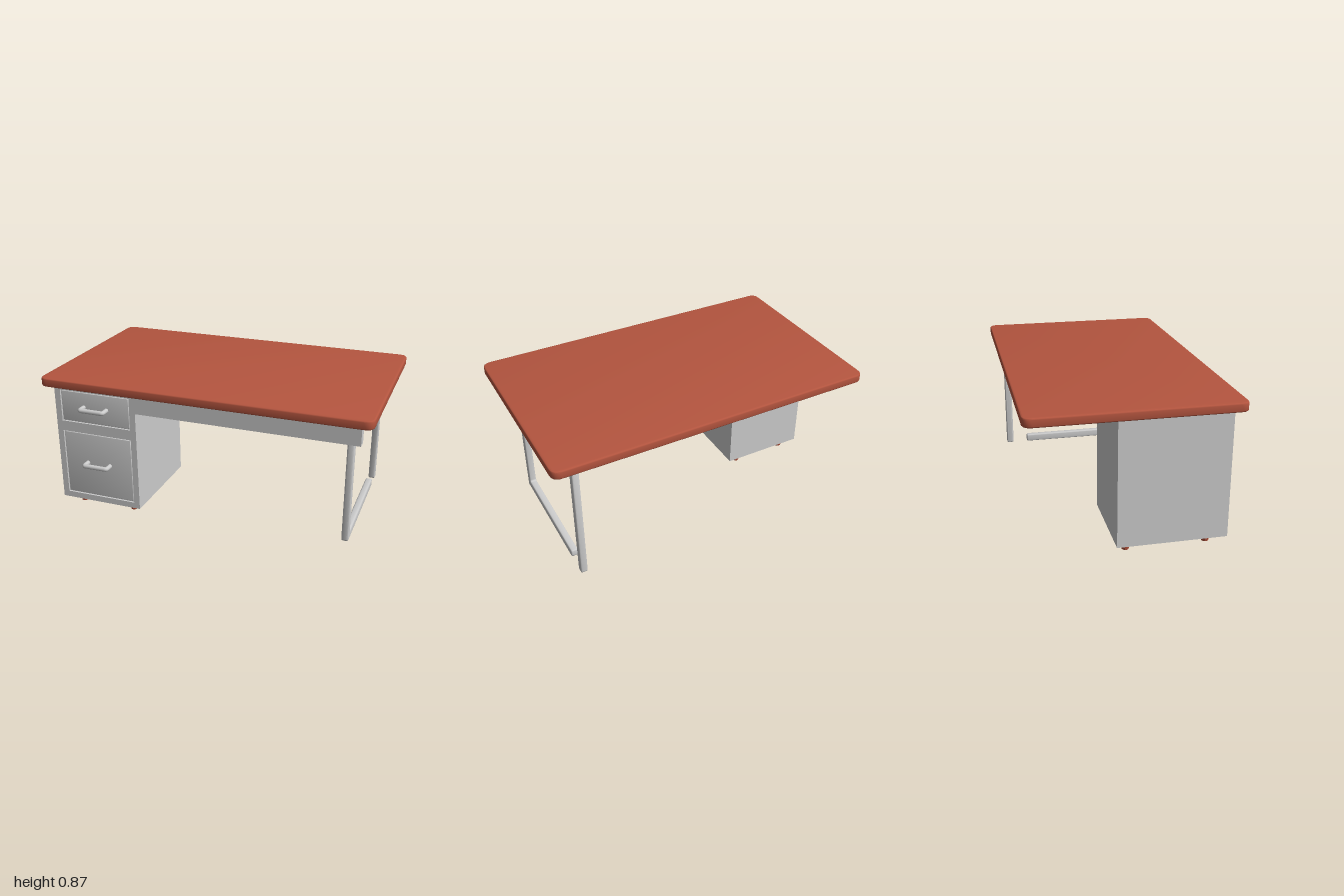
import * as THREE from 'three';
import { toCreasedNormals } from 'three/addons/utils/BufferGeometryUtils.js';

const GREY = 0xcccccc;
const RED = 0xb4553f;
const mats = {};
const mat = (color, flatShading = false) =>
  (mats[color + '_' + flatShading] ??= new THREE.MeshStandardMaterial({ color, flatShading }));

function add(parent, name, geometry, material, x = 0, y = 0, z = 0) {
  const mesh = new THREE.Mesh(geometry, material);
  mesh.name = name;
  mesh.position.set(x, y, z);
  parent.add(mesh);
  return mesh;
}

// Closed polygon with every corner rounded by radius r
function roundedShape(points, r) {
  const pts = points.map(([x, y]) => new THREE.Vector2(x, y));
  const shape = new THREE.Shape();
  pts.forEach((p, i) => {
    const prev = pts[(i + pts.length - 1) % pts.length];
    const next = pts[(i + 1) % pts.length];
    const a = prev.clone().sub(p).setLength(r).add(p);
    const b = next.clone().sub(p).setLength(r).add(p);
    if (i === 0) shape.moveTo(a.x, a.y);
    else shape.lineTo(a.x, a.y);
    shape.quadraticCurveTo(p.x, p.y, b.x, b.y);
  });
  shape.closePath();
  return shape;
}

const rect = (x0, y0, x1, y1) => [[x0, y0], [x1, y0], [x1, y1], [x0, y1]];

// Extrusion from z = 0 to z = depth whose bevel stays inside the outline
function bevelled(shape, depth, bevel, curveSegments = 6) {
  const geo = new THREE.ExtrudeGeometry(shape, {
    depth: depth - 2 * bevel, curveSegments,
    bevelSize: bevel, bevelThickness: bevel, bevelOffset: -bevel, bevelSegments: 3,
  });
  geo.translate(0, 0, bevel);
  return toCreasedNormals(geo, 0.7);
}

export function createModel() {
  const desk = new THREE.Group();
  desk.name = 'desk';

  // Desktop
  const top = bevelled(roundedShape(rect(-1, -0.6, 1, 0.6), 0.055), 0.052, 0.008, 8);
  top.rotateX(-Math.PI / 2);
  add(desk, 'desktop', top, mat(RED), 0, 0.818, 0);

  // Drawer cabinet: solid body with a front frame around recessed drawers
  const cabinet = new THREE.Group();
  cabinet.name = 'drawerCabinet';
  desk.add(cabinet);
  const left = -0.94, right = -0.405, bottom = 0.06, height = 0.758, recess = 0.012;
  const cx = (left + right) / 2;
  const bodyDepth = 0.635 - recess;
  add(cabinet, 'cabinetBody', new THREE.BoxGeometry(right - left, height, bodyDepth),
    mat(GREY), cx, bottom + height / 2, -0.1 + bodyDepth / 2);

  const drawers = [
    { y0: 0.585, y1: 0.787, handleY: 0.688 },
    { y0: 0.098, y1: 0.52, handleY: 0.321 },
  ];
  const frame = new THREE.Shape(rect(left, bottom, right, bottom + height).map(p => new THREE.Vector2(...p)));
  for (const d of drawers) {
    frame.holes.push(new THREE.Path(rect(-0.902, d.y0, -0.442, d.y1).reverse().map(p => new THREE.Vector2(...p))));
  }
  add(cabinet, 'cabinetFrontFrame',
    new THREE.ExtrudeGeometry(frame, { depth: recess, bevelEnabled: false }),
    mat(GREY), 0, 0, 0.535 - recess);

  // Drawer fronts and bar handles
  const handlePath = new THREE.CurvePath();
  const v = (x, z) => new THREE.Vector3(x, 0, z);
  handlePath.add(new THREE.LineCurve3(v(-0.076, -0.015), v(-0.076, 0.036)));
  handlePath.add(new THREE.QuadraticBezierCurve3(v(-0.076, 0.036), v(-0.076, 0.046), v(-0.066, 0.046)));
  handlePath.add(new THREE.LineCurve3(v(-0.066, 0.046), v(0.066, 0.046)));
  handlePath.add(new THREE.QuadraticBezierCurve3(v(0.066, 0.046), v(0.076, 0.046), v(0.076, 0.036)));
  handlePath.add(new THREE.LineCurve3(v(0.076, 0.036), v(0.076, -0.015)));
  const handleGeo = new THREE.TubeGeometry(handlePath, 60, 0.014, 12);
  for (const d of drawers) {
    const panel = bevelled(roundedShape(rect(-0.896, d.y0 + 0.006, -0.448, d.y1 - 0.006), 0.003), 0.012, 0.003, 2);
    add(cabinet, 'drawerFront', panel, mat(GREY), 0, 0, 0.518);
    add(cabinet, 'drawerHandle', handleGeo, mat(GREY), cx, d.handleY, 0.535);
  }

  // Tapered cabinet feet
  const footGeo = new THREE.CylinderGeometry(0.031, 0.021, 0.06, 10);
  for (const x of [-0.85, -0.495]) {
    for (const z of [0.437, -0.032]) add(cabinet, 'cabinetFoot', footGeo, mat(RED, true), x, 0.03, z);
  }

  // Front rail under the desktop
  add(desk, 'frontRail', new THREE.BoxGeometry(1.335, 0.123, 0.057), mat(GREY), 0.2625, 0.7565, 0.5065);

  // Side leg: one bent bar, open at the lower back corner
  const t = 0.047, f = -0.388, b = 0.525, y0 = 0.007, y1 = 0.805;
  const leg = bevelled(roundedShape([
    [f, y0], [0.377, y0], [0.377, y0 + t + 0.004], [f + t, y0 + t + 0.004],
    [f + t, y1 - t + 0.007], [b - t, y1 - t + 0.007], [b - t, y0], [b, y0], [b, y1], [f, y1],
  ], 0.014), 0.042, 0.009, 5);
  leg.rotateY(Math.PI / 2);
  add(desk, 'sideLeg', leg, mat(GREY), 0.829, 0, 0);

  return desk;
}
